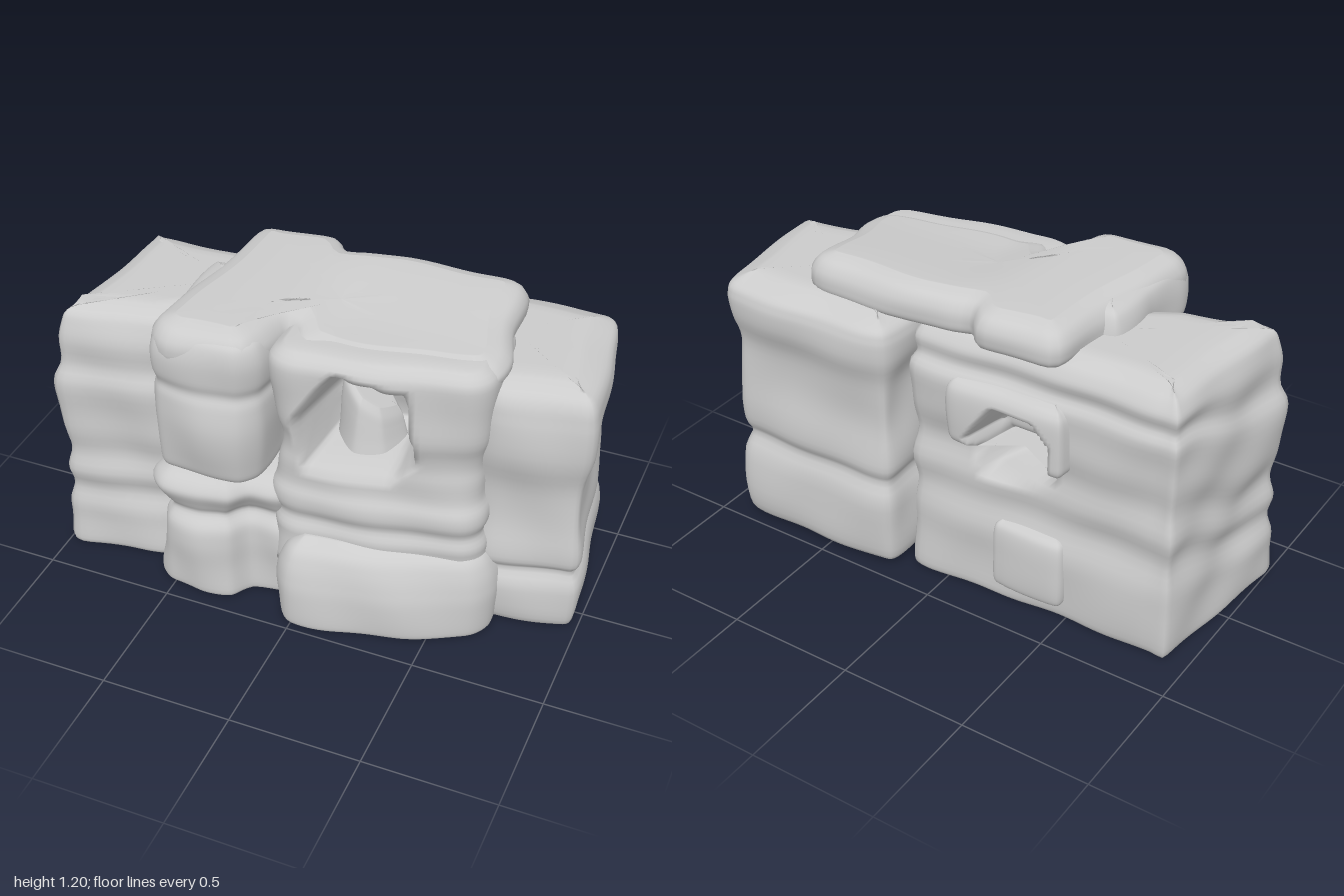
import * as THREE from 'three';

const AROUND = 112, ROWS = 44, CAP = 5, SPAN = 3;
const smooth = THREE.MathUtils.smoothstep;

// Rounded closed outline in plan, always running so that its outside is on the same hand
function outline(plan) {
  const area = plan.reduce((s, [x, z], i) => {
    const [u, v] = plan[(i + 1) % plan.length];
    return s + x * v - u * z;
  }, 0);
  const pts = (area > 0 ? plan : [...plan].reverse()).map(([x, z]) => new THREE.Vector3(x, 0, z));
  const ring = new THREE.CatmullRomCurve3(pts, true, 'catmullrom', 0.35).getSpacedPoints(AROUND).slice(0, AROUND);
  return ring.map((p, i) => {
    const t = ring[(i + SPAN) % AROUND].clone().sub(ring[(i + AROUND - SPAN) % AROUND]).normalize();
    return { x: p.x, z: p.z, nx: t.z, nz: -t.x };
  });
}

// How far out a point lies in a convex polygon around a centre: 0 at the centre, 1 on the edge
function reach({ x: cx, y: cy, shape }, x, y) {
  return Math.max(...shape.map(([ax, ay], i) => {
    const [bx, by] = shape[(i + 1) % shape.length];
    const nx = by - ay, ny = ax - bx;
    return ((x - cx) * nx + (y - cy) * ny) / (ax * nx + ay * ny);
  }));
}

// Weathered block: a plan outline lofted through [height, inset] levels, with optional hollow and vertical warp
function rock(name, plan, levels, { dent, warp = () => 0, lump = 0.005 } = {}) {
  const ring = outline(plan);
  const profile = new THREE.SplineCurve(levels.map(([y, inset]) => new THREE.Vector2(inset, y)));
  const cx = ring.reduce((s, p) => s + p.x, 0) / AROUND;
  const cz = ring.reduce((s, p) => s + p.z, 0) / AROUND;
  const pos = [], index = [];

  const addRing = (inset, level, shrink) => {
    for (const p of ring) {
      const y = level + warp(p.x, level, p.z);
      const wave = lump * (Math.sin(p.x * 17 + y * 9) + Math.sin(p.z * 15 - y * 14 + p.x * 5));
      const d = inset - wave;
      let x = p.x - p.nx * d, z = p.z - p.nz * d;
      if (dent && p.nz * Math.sign(dent.push) < -0.6) {
        z += dent.push * (1 - smooth(reach(dent, x, y), 0.85, 1.25));
      }
      x = cx + (x - cx) * shrink;
      z = cz + (z - cz) * shrink;
      pos.push(x, level + warp(x, level, z), z);
    }
  };

  const first = profile.getPoint(0), last = profile.getPoint(1);
  for (let k = 0; k < CAP; k++) addRing(first.x, first.y, k / CAP);
  for (let k = 0; k <= ROWS; k++) {
    const p = profile.getPoint(k / ROWS);
    addRing(p.x, p.y, 1);
  }
  for (let k = CAP - 1; k >= 0; k--) addRing(last.x, last.y, k / CAP);

  const rings = pos.length / 3 / AROUND;
  for (let k = 0; k < rings - 1; k++) {
    for (let i = 0; i < AROUND; i++) {
      const a = k * AROUND + i, b = k * AROUND + (i + 1) % AROUND;
      index.push(a, a + AROUND, b, b, a + AROUND, b + AROUND);
    }
  }
  const geo = new THREE.BufferGeometry();
  geo.setAttribute('position', new THREE.Float32BufferAttribute(pos, 3));
  geo.setIndex(index);
  geo.computeVertexNormals();
  const mesh = new THREE.Mesh(geo, new THREE.MeshStandardMaterial({ color: 0xcccccc, roughness: 1, side: THREE.DoubleSide }));
  mesh.name = name;
  return mesh;
}

// Lifts the strata of the flanks towards the back, leaving top and bottom in place
const strata = (x, y, z) => 0.17 * smooth(-z, -0.15, 0.3) * Math.sin(Math.PI * THREE.MathUtils.clamp(y / 1.05, 0, 1));

export function createModel() {
  const group = new THREE.Group();
  group.name = 'rockFormation';
  const windowHole = {
    x: 0.19, y: 0.86, push: -0.31,
    shape: [[-0.18, 0], [-0.15, -0.17], [0.12, -0.17], [0.18, -0.1], [0.15, 0.15], [-0.06, 0.19]],
  };
  const backHole = {
    x: -0.28, y: 0.69, push: 0.2,
    shape: [[-0.14, 0.06], [-0.13, -0.11], [0.1, -0.13], [0.15, 0], [0.06, 0.13], [-0.08, 0.13]],
  };

  group.add(
    // Flanking cliffs, meeting in a seam at the back
    rock('rightFlank',
      [[0.18, -0.36], [0.2, -0.45], [0.3, -0.475], [0.6, -0.48], [0.88, -0.475], [0.94, -0.38], [0.98, -0.1],
        [1, 0.08], [0.95, 0.13], [0.66, 0.18], [0.52, 0.12], [0.42, -0.02], [0.2, -0.05]],
      [[0.01, 0.05], [0.03, 0.02], [0.1, 0.005], [0.2, 0.01], [0.26, 0.045], [0.3, 0.025], [0.36, 0.025],
        [0.45, 0.035], [0.55, 0.035], [0.66, 0.03], [0.78, 0.005], [0.9, 0], [0.96, 0.005], [1.01, 0.015],
        [1.05, 0.045], [1.08, 0.12]], { warp: strata }),
    rock('leftFlank',
      [[-0.92, -0.31], [-0.85, -0.34], [-0.4, -0.35], [0.1, -0.37], [0.17, -0.32], [0.16, -0.06], [-0.1, 0.05],
        [-0.45, 0.2], [-0.6, 0.29], [-0.75, 0.32], [-0.94, 0.36], [-1, 0.32], [-0.97, 0.1]],
      [[0.005, 0.01], [0.03, 0], [0.12, 0], [0.2, 0], [0.28, 0.025], [0.36, 0.01], [0.45, 0.03], [0.55, 0.01],
        [0.65, 0.005], [0.77, 0], [0.85, 0.03], [0.95, 0.02], [1.02, 0.035], [1.065, 0.06], [1.095, 0.13]],
      { dent: backHole, warp: strata }),

    // Central mass: pierced wall, rounded column and the two base blocks
    rock('windowWall',
      [[-0.14, -0.15], [-0.14, 0.25], [-0.1, 0.34], [0, 0.37], [0.3, 0.33], [0.58, 0.26], [0.65, 0.18],
        [0.64, 0], [0.6, -0.15], [0.2, -0.18]],
      [[0.2, 0], [0.32, 0.01], [0.38, 0.005], [0.43, 0.02], [0.48, 0], [0.53, 0], [0.58, 0.02], [0.66, 0.025],
        [0.72, 0.035], [0.78, 0.03], [0.85, 0.01], [0.95, 0.005], [1.05, 0], [1.11, 0.01], [1.15, 0.06]],
      { dent: windowHole }),
    rock('column',
      [[-0.53, -0.1], [-0.55, 0.15], [-0.57, 0.34], [-0.52, 0.44], [-0.35, 0.47], [-0.2, 0.45],
        [-0.13, 0.37], [-0.12, 0.2], [-0.14, -0.1]],
      [[0.56, 0.08], [0.58, 0.035], [0.65, 0.02], [0.8, 0], [0.9, 0.005], [0.95, 0.02], [1, 0.01],
        [1.08, 0.01], [1.14, 0.025], [1.17, 0.05], [1.185, 0.1]]),
    rock('leftBase',
      [[-0.55, -0.05], [-0.56, 0.2], [-0.58, 0.36], [-0.52, 0.44], [-0.38, 0.46], [-0.26, 0.43],
        [-0.2, 0.36], [-0.08, 0.34], [0, 0.2], [-0.05, -0.05]],
      [[0.005, 0.02], [0.03, 0.005], [0.15, 0.015], [0.25, 0.015], [0.32, 0.02], [0.37, 0.05], [0.41, 0.03],
        [0.47, 0], [0.51, 0.015], [0.55, 0.06], [0.59, 0.09]], { lump: 0.008 }),
    rock('rightBase',
      [[-0.05, -0.1], [-0.08, 0.2], [-0.08, 0.39], [-0.01, 0.47], [0.15, 0.46], [0.42, 0.39], [0.64, 0.29],
        [0.7, 0.2], [0.69, 0.05], [0.6, -0.1]],
      [[0.005, 0.015], [0.03, 0], [0.15, -0.005], [0.22, 0.005], [0.28, 0.025], [0.33, 0.055], [0.37, 0.11]]),
    // Overhanging cap slab, falling towards the front above the window
    rock('capSlab',
      [[-0.46, -0.3], [-0.4, -0.36], [-0.16, -0.38], [-0.09, -0.32], [0, -0.35], [0.15, -0.37], [0.5, -0.37],
        [0.6, -0.32], [0.62, -0.12], [0.66, 0.05], [0.64, 0.17], [0.5, 0.23], [0.15, 0.29], [-0.03, 0.28],
        [-0.1, 0.18], [-0.14, 0.32], [-0.2, 0.42], [-0.45, 0.45], [-0.55, 0.36], [-0.5, 0.05]],
      [[1.04, 0.06], [1.07, 0.01], [1.11, 0], [1.15, 0.007], [1.185, 0.035], [1.207, 0.09]],
      { warp: (x, y, z) => -0.05 * smooth(x, -0.2, 0.1) * smooth(z, -0.35, 0.2) * smooth(y, 1.04, 1.2) }),

    // Slanting broken slab inside the window
    rock('innerSlab',
      [[0.05, 0], [0.06, 0.12], [0.15, 0.2], [0.25, 0.17], [0.3, 0.05], [0.2, -0.02]],
      [[0.66, -0.01], [0.72, 0], [0.8, 0.01], [0.85, 0.02], [0.88, 0.04]],
      { warp: (x, y) => 0.7 * (0.17 - x) * smooth(y, 0.66, 0.88), lump: 0.003 }),

    // Shallow slabs standing out of the back, the upper one round the hollow
    rock('backUpperSlab',
      [[-0.49, -0.1], [-0.5, -0.36], [-0.46, -0.395], [-0.26, -0.395], [-0.06, -0.4], [-0.02, -0.36], [-0.03, -0.1]],
      [[0.63, 0.06], [0.66, 0.01], [0.72, 0], [0.85, 0], [0.9, 0.02], [0.92, 0.06]],
      { dent: backHole, lump: 0.003 }),
    rock('backLowerSlab',
      [[-0.49, -0.1], [-0.5, -0.34], [-0.46, -0.38], [-0.25, -0.38], [-0.2, -0.35], [-0.21, -0.1]],
      [[0.06, 0.04], [0.09, 0], [0.22, 0], [0.33, 0.01], [0.36, 0.05]], { lump: 0.003 }),
  );
  return group;
}
